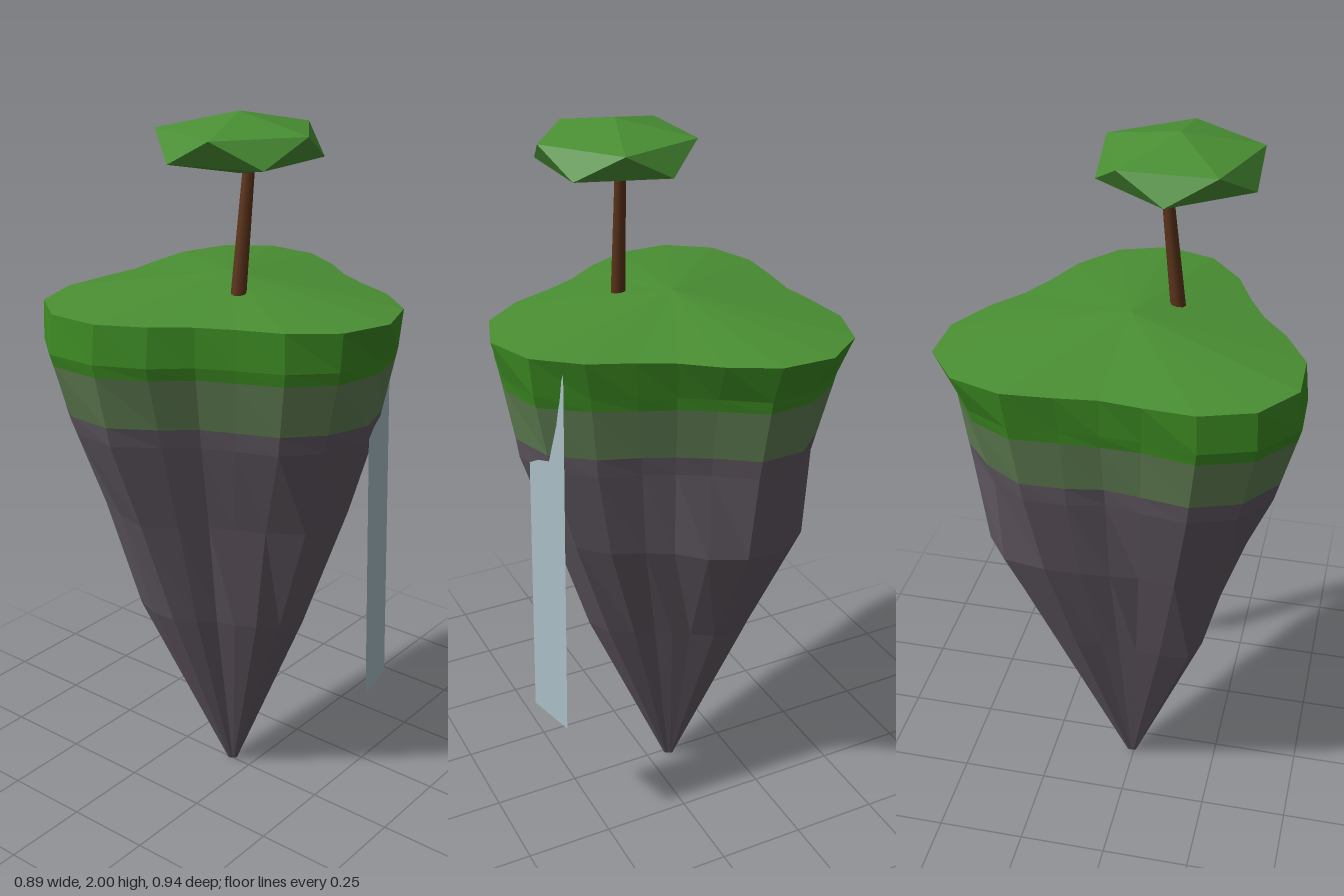
import * as THREE from 'three';

const SIDES = 22;
const CX = -0.07, CZ = -0.008;

// Main cross-sections: height, scale of the outline, lean of the scale toward +z, roughness
const RINGS = [
  [1.555, 0, 0, 0],
  [1.5, 1, 0, 0],
  [1.395, 0.97, 0.045, 0.03],
  [1.16, 0.87, 0.04, 0.035],
  [0.9, 0.73, -0.035, 0.03],
  [0.57, 0.5, 0.015, 0.03],
  [0, 0.03, 0, 0],
  [0, 0, 0, 0],
];

// Repeatable roughness from -1 to 1
function rough(i, j) {
  const s = Math.sin(i * 127.1 + j * 311.7) * 43758.5453;
  return 2 * (s - Math.floor(s)) - 1;
}

// Three-lobed outline, scaled for each ring
function makeRing([y, scale, lean, noise], index) {
  return Array.from({ length: SIDES }, (_, i) => {
    const a = (i / SIDES) * Math.PI * 2;
    const s = scale + lean * Math.sin(a) + noise * rough(i, index);
    const r = (0.435 + 0.08 * Math.cos(3 * a)) * s;
    return new THREE.Vector3(CX + r * Math.cos(a), y, CZ + r * Math.sin(a));
  });
}

// Extra ring between two others, where a colour changes
function between(upper, lower, y) {
  const t = (upper[0].y - y) / (upper[0].y - lower[0].y);
  return upper.map((p, i) => p.clone().lerp(lower[i], t));
}

// Faceted skin over a stack of rings, listed from top to bottom
function skin(rings) {
  const pos = [];
  const tri = (a, b, c) => {
    if (a.distanceTo(b) < 1e-6 || b.distanceTo(c) < 1e-6 || c.distanceTo(a) < 1e-6) return;
    for (const p of [a, b, c]) pos.push(p.x, p.y, p.z);
  };
  for (let k = 0; k < rings.length - 1; k++) {
    for (let i = 0; i < SIDES; i++) {
      const j = (i + 1) % SIDES;
      const [top, low] = [rings[k], rings[k + 1]];
      tri(top[i], top[j], low[i]);
      tri(top[j], low[j], low[i]);
    }
  }
  const geo = new THREE.BufferGeometry();
  geo.setAttribute('position', new THREE.Float32BufferAttribute(pos, 3));
  geo.computeVertexNormals();
  return geo;
}

function material(name, color, options = {}) {
  const m = new THREE.MeshStandardMaterial({ color, ...options });
  m.name = name;
  return m;
}

export function createModel() {
  const model = new THREE.Group();
  model.name = 'floatingIsland';
  const flat = { flatShading: true };
  const grass = material('grass', 0x4a8f33, flat);
  const lip = material('deepGrass', 0x3c8a22, flat);
  const moss = material('mossyEarth', 0x5f7d52, flat);
  const rock = material('rock', 0x605861, flat);
  const bark = material('bark', 0x5c341b);
  const leaves = material('leaves', 0x4a9034, flat);
  const water = material('water', 0xaabec6, { side: THREE.DoubleSide });

  const add = (name, geo, mat, parent = model) => {
    const mesh = new THREE.Mesh(geo, mat);
    mesh.name = name;
    parent.add(mesh);
    return mesh;
  };

  // Island, split into layers by colour
  const r = RINGS.map(makeRing);
  const lipEnd = between(r[2], r[3], 1.36);
  const mossEnd = between(r[2], r[3], 1.215);
  add('grassTop', skin([r[0], r[1]]), grass);
  add('grassRim', skin([r[1], r[2], lipEnd]), lip);
  add('mossLayer', skin([lipEnd, mossEnd]), moss);
  add('rockBase', skin([mossEnd, ...r.slice(3)]), rock);

  // Tree: leaning trunk and a squashed twenty-sided crown
  const tree = new THREE.Group();
  tree.name = 'tree';
  model.add(tree);
  const foot = new THREE.Vector3(0.04, 1.51, 0.097);
  const head = new THREE.Vector3(0.048, 1.9, 0.055);
  const dir = head.clone().sub(foot);
  const trunk = add('trunk', new THREE.CylinderGeometry(0.015, 0.021, dir.length(), 8), bark, tree);
  trunk.position.copy(foot).add(head).multiplyScalar(0.5);
  trunk.quaternion.setFromUnitVectors(new THREE.Vector3(0, 1, 0), dir.normalize());

  const crown = new THREE.IcosahedronGeometry(0.238, 0);
  crown.rotateZ(-Math.atan(2 / (1 + Math.sqrt(5))));
  crown.scale(1, 0.0775 / 0.238, 1);
  add('crown', crown, leaves, tree).position.set(0.045, 1.9225, 0.094);

  // Waterfall: flat sheet falling from the rim, leaning slightly outward
  const sheet = new THREE.PlaneGeometry(0.154, 1.105);
  const p = sheet.attributes.position;
  for (let i = 0; i < p.count; i++) p.setZ(i, -0.025 * (p.getY(i) / 1.105 + 0.5));
  sheet.rotateY(Math.PI / 2 + 0.23);
  sheet.computeVertexNormals();
  add('waterfall', sheet, water).position.set(0.368, 0.9275, -0.125);

  return model;
}
